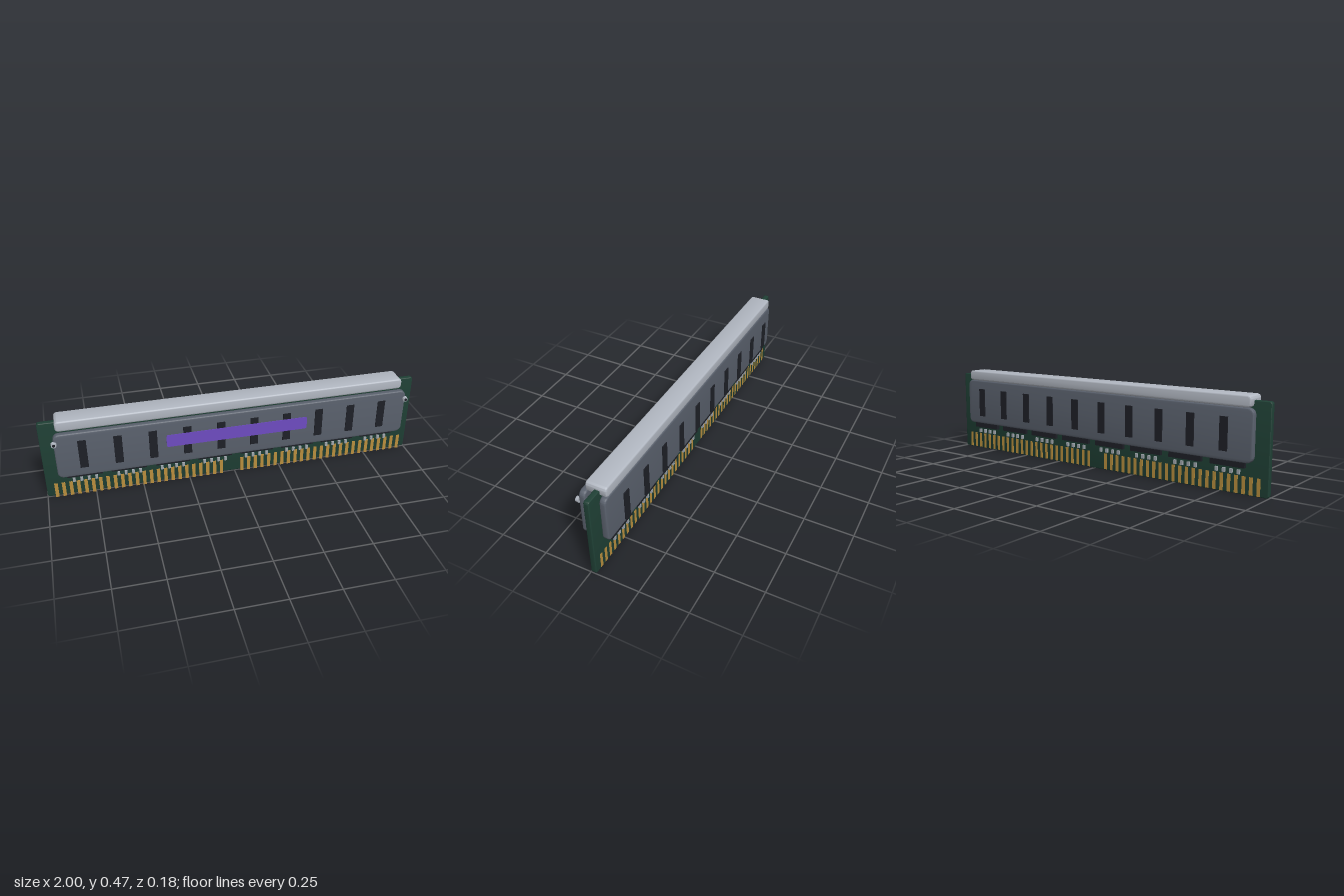
import * as THREE from 'three';
import { toCreasedNormals } from 'three/addons/utils/BufferGeometryUtils.js';

const mat = (color) => new THREE.MeshStandardMaterial({ color });

// Rounded plate with bevelled rims, spanning x0..x1, y0..y1, z0..z1
function plate(x0, x1, y0, y1, z0, z1, radius, bevel) {
  const a = x0 + bevel, b = x1 - bevel, c = y0 + bevel, d = y1 - bevel;
  const r = Math.max(radius - bevel, 0.001);
  const s = new THREE.Shape();
  s.moveTo(a + r, c);
  s.lineTo(b - r, c);
  s.absarc(b - r, c + r, r, -Math.PI / 2, 0);
  s.lineTo(b, d - r);
  s.absarc(b - r, d - r, r, 0, Math.PI / 2);
  s.lineTo(a + r, d);
  s.absarc(a + r, d - r, r, Math.PI / 2, Math.PI);
  s.lineTo(a, c + r);
  s.absarc(a + r, c + r, r, Math.PI, Math.PI * 1.5);
  const g = new THREE.ExtrudeGeometry(s, {
    depth: z1 - z0 - 2 * bevel, bevelEnabled: bevel > 0, bevelSize: bevel,
    bevelThickness: bevel, bevelSegments: 3, curveSegments: 5,
  });
  g.translate(0, 0, z0 + bevel);
  return toCreasedNormals(g, 0.6);
}

function box(w, y0, y1, z0, z1) {
  const g = new THREE.BoxGeometry(w, y1 - y0, z1 - z0);
  g.translate(0, (y0 + y1) / 2, (z0 + z1) / 2);
  return g;
}

export function createModel() {
  const root = new THREE.Group();
  const board = mat(0x1f4035), spreader = mat(0x5a616d), silver = mat(0xb2b8c2);
  const dark = mat(0x1e2027), gold = mat(0xb98f3e), purple = mat(0x6e4cc2), cap = mat(0x9fa6ad);

  const add = (name, geo, material, x = 0, parent = root) => {
    const m = new THREE.Mesh(geo, material);
    m.name = name;
    m.position.x = x;
    parent.add(m);
    return m;
  };
  // One copy of a geometry at each x, gathered under a named group
  const row = (name, geo, material, xs) => {
    const g = new THREE.Group();
    g.name = name + 'Row';
    xs.forEach((x) => add(name, geo, material, x, g));
    root.add(g);
  };
  const spaced = (n, pitch) => Array.from({ length: n }, (_, i) => (i - (n - 1) / 2) * pitch);

  // Circuit board, clamp bar and the two heat spreaders
  add('circuitBoard', plate(-1, 1, 0, 0.443, -0.028, -0.001, 0.012, 0.004), board);
  add('topBar', plate(-0.914, 0.914, 0.411, 0.467, -0.063, 0.045, 0.018, 0.008), silver);
  add('frontSpreader', plate(-0.93, 0.93, 0.157, 0.41, 0.042, 0.074, 0.03, 0.007), spreader);
  add('backSpreader', plate(-0.93, 0.93, 0.157, 0.41, -0.063, -0.031, 0.03, 0.007), spreader);

  // Memory chips under each spreader
  const chipXs = spaced(8, 0.228);
  row('frontChip', box(0.18, 0.13, 0.304, 0.023, 0.042), dark, chipXs);
  row('backChip', box(0.18, 0.13, 0.304, -0.053, -0.035), dark, chipXs);

  // Four small capacitors below each chip
  const capXs = chipXs.flatMap((x) => spaced(4, 0.038).map((d) => x + d));
  row('frontCapacitor', box(0.014, 0.098, 0.119, 0.028, 0.038), cap, capXs);
  row('backCapacitor', box(0.014, 0.098, 0.119, -0.049, -0.039), cap, capXs);

  // Vent slots
  const slotXs = spaced(10, 0.1764);
  row('frontSlot', box(0.042, 0.206, 0.366, 0.072, 0.077), dark, slotXs);
  row('backSlot', box(0.042, 0.206, 0.366, -0.087, -0.082), dark, slotXs);

  // Edge contacts, leaving a gap for the key
  const pinXs = spaced(51, 0.038).filter((_, i) => i !== 24 && i !== 25);
  row('frontContact', box(0.018, 0.003, 0.088, 0.014, 0.017), gold, pinXs);
  row('backContact', box(0.018, 0.003, 0.088, -0.029, -0.026), gold, pinXs);

  // Label strip
  add('labelStrip', plate(-0.374, 0.374, 0.263, 0.333, 0.079, 0.082, 0.01, 0), purple);

  // Screws at both ends of the front spreader
  for (const side of [-1, 1]) {
    const screw = new THREE.Group();
    screw.name = side > 0 ? 'leftScrew' : 'rightScrew';
    const head = new THREE.CylinderGeometry(0.013, 0.015, 0.016, 20).rotateX(Math.PI / 2);
    const socket = new THREE.CylinderGeometry(0.008, 0.008, 0.004, 6).rotateX(Math.PI / 2);
    add('screwHead', head, silver, 0, screw).position.z = 0.078;
    add('screwSocket', socket, dark, 0, screw).position.z = 0.087;
    screw.position.set(side * 0.928, 0.362, 0);
    root.add(screw);
  }
  return root;
}
